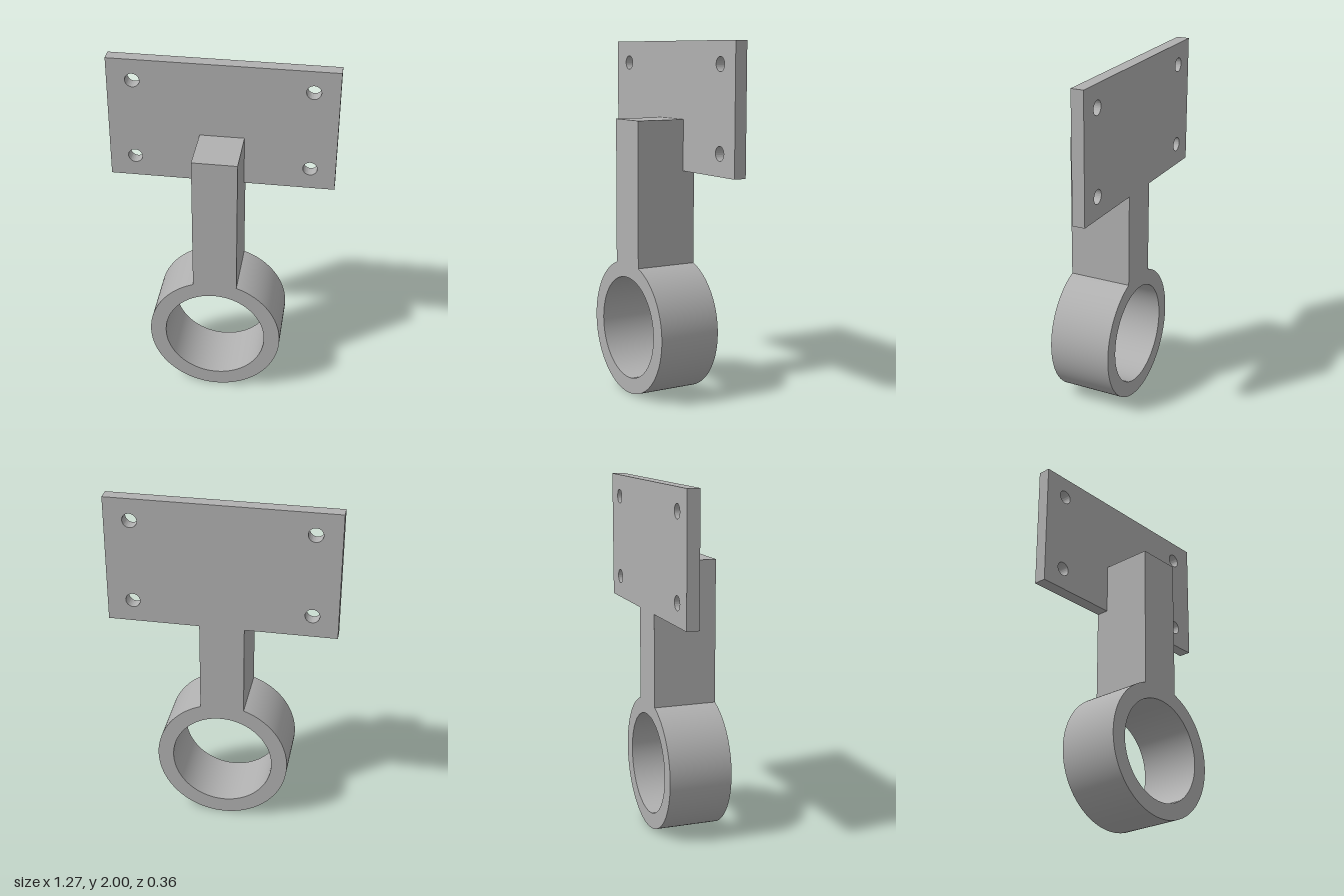
import * as THREE from 'three';
import { toCreasedNormals } from 'three/addons/utils/BufferGeometryUtils.js';

const BACK = -0.182, FRONT = 0.182, PLATE_FRONT = -0.11;
const RING_Y = 0.382, RING_R = 0.382, BORE_R = 0.291;
const STEM_HALF = 0.125, STEM_TOP = 1.565;
const PLATE_HALF = 0.634, PLATE_BOTTOM = 1.275, PLATE_TOP = 2;

export function createModel() {
  const model = new THREE.Group();
  model.name = 'ringBracket';
  const metal = new THREE.MeshStandardMaterial({ color: 0xb0b0b0 });
  metal.name = 'grey metal';

  // Extrude a shape between two depths, smooth on curves and sharp on corners
  const addExtrusion = (name, shape, z0, z1) => {
    const geometry = new THREE.ExtrudeGeometry(shape, {
      depth: z1 - z0, bevelEnabled: false, curveSegments: 64,
    });
    geometry.translate(0, 0, z0);
    const mesh = new THREE.Mesh(toCreasedNormals(geometry, 0.4), metal);
    mesh.name = name;
    model.add(mesh);
  };
  const circle = (x, y, r) => new THREE.Path().absarc(x, y, r, 0, Math.PI * 2, true);

  // Ring flowing into the lower stem, as one outline
  const join = Math.acos(STEM_HALF / RING_R);
  const body = new THREE.Shape();
  body.moveTo(STEM_HALF, PLATE_BOTTOM);
  body.lineTo(-STEM_HALF, PLATE_BOTTOM);
  body.absarc(0, RING_Y, RING_R, Math.PI - join, Math.PI * 2 + join, false);
  body.closePath();
  body.holes.push(circle(0, RING_Y, BORE_R));
  addExtrusion('ringAndStem', body, BACK, FRONT);

  // Upper stem, standing against the front of the plate
  const upper = new THREE.Mesh(
    new THREE.BoxGeometry(STEM_HALF * 2, STEM_TOP - PLATE_BOTTOM, FRONT - PLATE_FRONT), metal);
  upper.position.set(0, (STEM_TOP + PLATE_BOTTOM) / 2, (FRONT + PLATE_FRONT) / 2);
  upper.name = 'upperStem';
  model.add(upper);

  // Mounting plate with four screw holes
  const plate = new THREE.Shape();
  plate.moveTo(-PLATE_HALF, PLATE_BOTTOM);
  plate.lineTo(PLATE_HALF, PLATE_BOTTOM);
  plate.lineTo(PLATE_HALF, PLATE_TOP);
  plate.lineTo(-PLATE_HALF, PLATE_TOP);
  plate.closePath();
  for (const x of [-0.492, 0.492])
    for (const y of [1.4, 1.875]) plate.holes.push(circle(x, y, 0.04));
  addExtrusion('mountingPlate', plate, BACK, PLATE_FRONT);

  return model;
}
